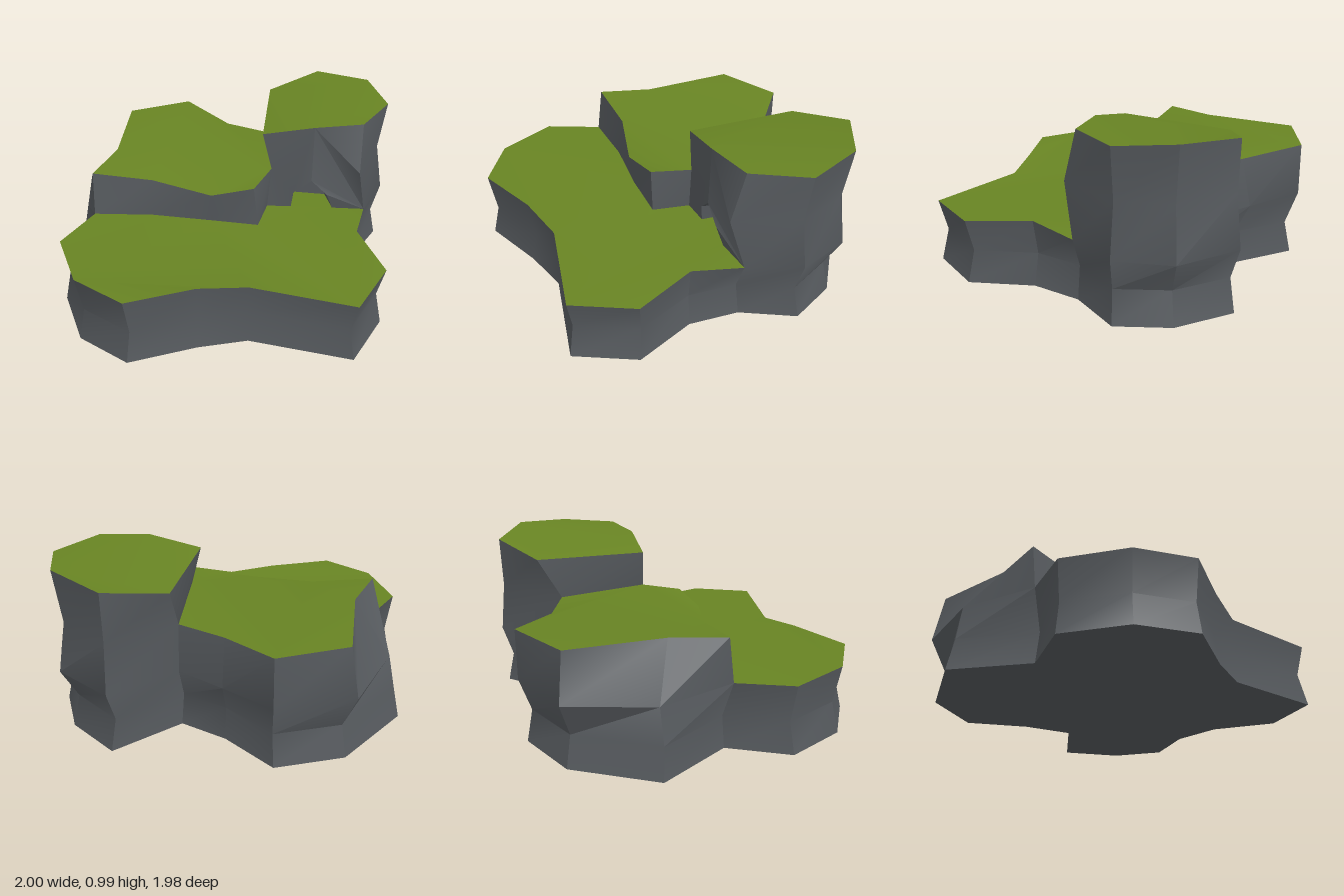
import * as THREE from 'three';
import { toCreasedNormals } from 'three/addons/utils/BufferGeometryUtils.js';

const rock = new THREE.MeshStandardMaterial({ color: 0x565a5e });
rock.name = 'rock';
const grass = new THREE.MeshStandardMaterial({ color: 0x688423 });
grass.name = 'grass';

function toMesh(name, points, index, material) {
  const geometry = new THREE.BufferGeometry();
  geometry.setAttribute('position', new THREE.Float32BufferAttribute(points.flat(), 3));
  geometry.setIndex(index);
  const mesh = new THREE.Mesh(toCreasedNormals(geometry, 0.6), material);
  mesh.name = name;
  return mesh;
}

// Wall through columns of points, each listed from bottom to top
function wall(name, columns) {
  const rows = columns[0].length, index = [];
  for (let c = 0; c < columns.length - 1; c++) {
    for (let r = 0; r < rows - 1; r++) {
      const a = c * rows + r, b = a + rows;
      index.push(a, b, b + 1, a, b + 1, a + 1);
    }
  }
  return toMesh(name, columns.flat(), index, rock);
}

// Filled outline facing a given direction: 'up', 'down' or 'front'
function panel(name, points, facing, material) {
  const v = facing === 'front' ? 1 : 2;
  const flat = points.map(p => new THREE.Vector2(p[0], p[v]));
  const index = [];
  for (const [a, b, c] of THREE.ShapeUtils.triangulateShape(flat, [])) {
    const ccw = flat[b].clone().sub(flat[a]).cross(flat[c].clone().sub(flat[a])) > 0;
    const keep = facing === 'up' ? !ccw : ccw;
    index.push(a, ...(keep ? [b, c] : [c, b]));
  }
  return toMesh(name, points, index, material);
}

// Foot of a cliff column: ground point and pinched waist
const foot = (x, z) => [[x, 0, z], [x * 0.96, 0.19, z * 0.96]];

export function createModel() {
  const model = new THREE.Group();
  model.name = 'terracedCliff';

  // Lower front terrace, from left round the front to right
  const frontCliff = [
    [...foot(-0.73, 0.12), [-0.78, 0.42, 0.15]],
    ...[[-0.91, 0.42, 0.47], [-0.73, 0.42, 0.82], [-0.42, 0.42, 0.99], [-0.05, 0.42, 0.82],
      [0.23, 0.385, 0.73], [0.83, 0.375, 0.82], [0.99, 0.375, 0.47], [0.83, 0.395, 0.12]]
      .map(p => [...foot(p[0], p[2]), p]),
    [...foot(0.84, -0.18), [0.88, 0.37, -0.18]],
  ];

  // Tower, from its front corner round to the back
  const towerCliff = [
    [...foot(0.84, -0.18), [0.88, 0.37, -0.18], [0.83, 0.67, -0.10], [0.83, 0.965, -0.18]],
    [...foot(0.99, -0.49), [1.00, 0.37, -0.49], [0.95, 0.67, -0.48], [0.99, 0.965, -0.49]],
    [...foot(0.84, -0.77), [0.88, 0.37, -0.80], [0.84, 0.67, -0.77], [0.87, 0.99, -0.80]],
    [...foot(0.54, -0.97), [0.54, 0.37, -0.99], [0.54, 0.67, -0.96], [0.54, 0.965, -0.97]],
    [...foot(0.23, -0.63), [0.23, 0.37, -0.66], [0.23, 0.65, -0.63], [0.23, 0.90, -0.77]],
  ];

  // Middle terrace, from the tower round the back to the left
  const backCliff = [
    [...foot(0.23, -0.63), [0.23, 0.37, -0.66], [0.23, 0.65, -0.63]],
    [...foot(-0.05, -0.73), [-0.05, 0.37, -0.79], [-0.05, 0.65, -0.73]],
    [...foot(-0.36, -0.94), [-0.36, 0.39, -0.97], [-0.36, 0.69, -0.97]],
    [...foot(-0.73, -0.77), [-0.78, 0.40, -0.80], [-0.73, 0.69, -0.77]],
    [...foot(-1.00, -0.30), [-0.92, 0.40, -0.30], [-0.70, 0.69, -0.20]],
    [...foot(-0.73, 0.12), [-0.78, 0.42, 0.15], [-0.78, 0.69, 0.12]],
  ];

  // Step between lower and middle terrace
  const step = [
    [[-0.78, 0.42, 0.15], [-0.78, 0.69, 0.12]],
    [[-0.42, 0.42, 0.12], [-0.42, 0.65, 0.09]],
    [[-0.05, 0.42, 0.14], [-0.05, 0.615, 0.17]],
    [[0.23, 0.395, 0.12], [0.20, 0.65, 0.12]],
    [[0.27, 0.40, -0.10], [0.29, 0.67, -0.10]],
  ];

  // Cave mouth, left to right, and its smaller back end
  const mouth = [[0.42, 0.395, -0.12], [0.43, 0.50, -0.11], [0.54, 0.60, -0.10],
    [0.64, 0.50, -0.11], [0.68, 0.39, -0.14]];
  const caveEnd = [[0.43, 0.395, -0.30], [0.44, 0.48, -0.30], [0.53, 0.53, -0.30],
    [0.62, 0.48, -0.30], [0.63, 0.39, -0.30]];

  const top = columns => columns.map(c => c[c.length - 1]);
  const bottom = columns => columns.map(c => c[0]);
  const towerFrontTop = [[0.54, 0.96, -0.11], [0.23, 0.90, -0.11]];

  model.add(
    wall('frontCliff', frontCliff),
    wall('towerCliff', towerCliff),
    wall('backCliff', backCliff),
    wall('terraceStep', step),
    wall('towerLeftWall', [
      [[0.23, 0.65, -0.63], [0.23, 0.90, -0.77]],
      [[0.29, 0.67, -0.10], [0.23, 0.90, -0.11]],
    ]),
    panel('towerFrontWall', [
      [0.27, 0.40, -0.10], ...mouth, [0.88, 0.37, -0.18], [0.83, 0.67, -0.10],
      [0.83, 0.965, -0.18], ...towerFrontTop, [0.29, 0.67, -0.10],
    ], 'front', rock),
    wall('caveWall', mouth.map((p, i) => [caveEnd[i], p])),
    panel('caveEnd', caveEnd, 'front', rock),
    panel('caveFloor', [mouth[0], mouth[4], caveEnd[4], caveEnd[0]], 'up', grass),
    panel('lowerGrass', [
      ...top(frontCliff), mouth[4], mouth[0], ...bottom(step).slice(1).reverse(),
    ], 'up', grass),
    panel('middleGrass', [...top(backCliff), ...top(step).slice(1)], 'up', grass),
    panel('towerGrass', [...top(towerCliff), towerFrontTop[1], towerFrontTop[0]], 'up', grass),
    panel('underside', [
      ...bottom(frontCliff), ...bottom(towerCliff).slice(1), ...bottom(backCliff).slice(1, -1),
    ], 'down', rock),
  );
  return model;
}
